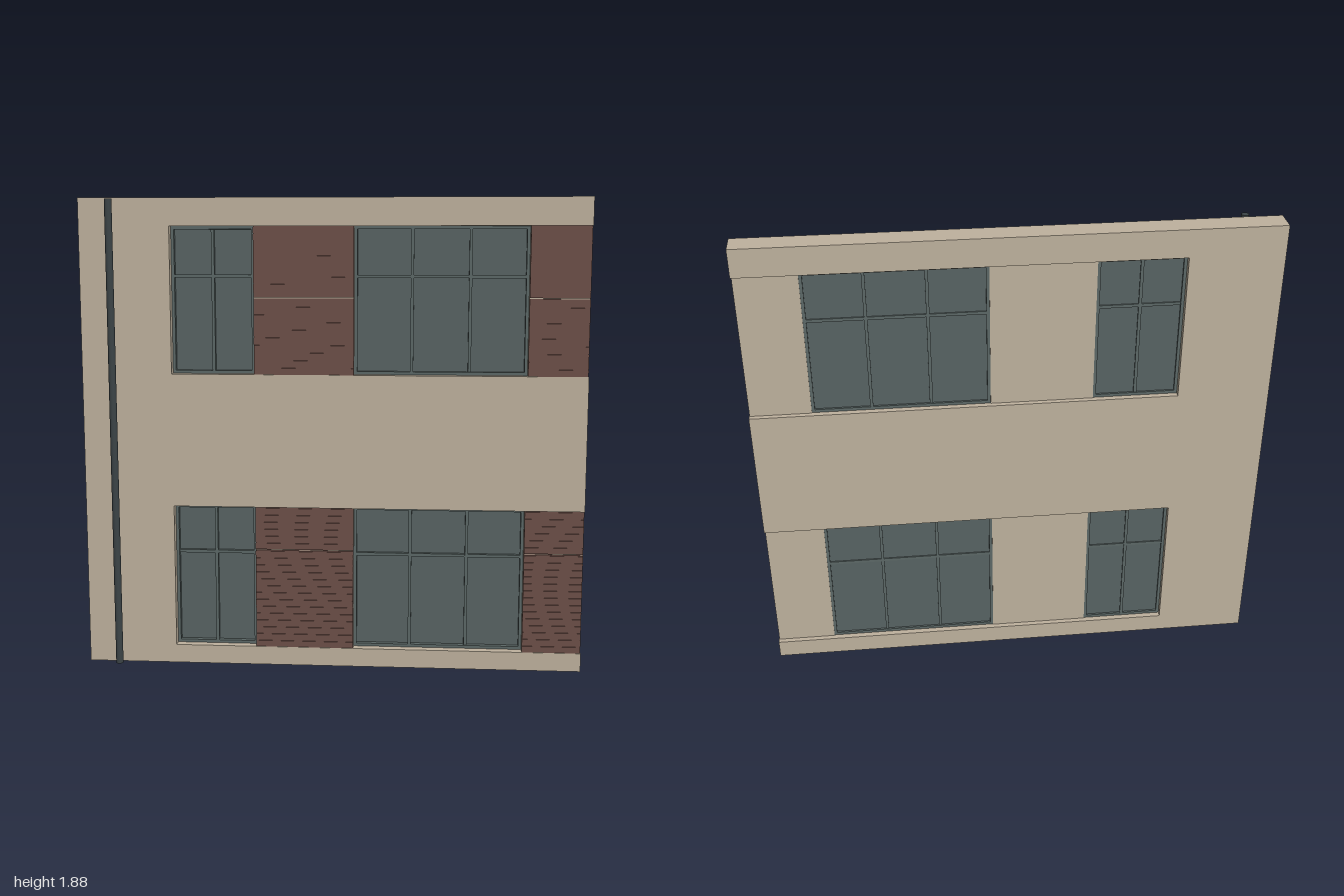
import * as THREE from 'three';

const mat = (name, color) => {
  const m = new THREE.MeshStandardMaterial({ color });
  m.name = name;
  return m;
};

export function createModel() {
  const render = mat('beige render', 0xbfb29e);
  const brick = mat('red brick', 0x6d5048);
  const glassMat = mat('grey glass', 0x586363);
  const frameMat = mat('window frame grey', 0x5c6867);
  const pipeMat = mat('dark pipe', 0x3c4447);

  const group = new THREE.Group();
  const H = 1.88, LEFT = -0.64, BACK = -0.073, FRONT = 0.022;
  const storeys = [
    { y0: 0.075, y1: 0.655, transom: 0.46, joint: 0.48 },
    { y0: 1.19, y1: 1.77, transom: 1.575, joint: 1.492 },
  ];
  const windows = [{ x0: LEFT, x1: -0.31, panes: 2 }, { x0: 0.085, x1: 0.765, panes: 3 }];
  const piers = [[-0.31, 0.085], [0.765, 0.998]];

  // Box given by its two corners
  const box = (name, material, x0, x1, y0, y1, z0, z1, parent = group) => {
    const mesh = new THREE.Mesh(new THREE.BoxGeometry(x1 - x0, y1 - y0, z1 - z0), material);
    mesh.position.set((x0 + x1) / 2, (y0 + y1) / 2, (z0 + z1) / 2);
    mesh.name = name;
    parent.add(mesh);
  };

  // Wall slab with two long recesses open at the right end
  const shape = new THREE.Shape();
  shape.moveTo(-1, 0);
  shape.lineTo(1, 0);
  for (const { y0, y1 } of storeys) {
    shape.lineTo(1, y0);
    shape.lineTo(LEFT, y0);
    shape.lineTo(LEFT, y1);
    shape.lineTo(1, y1);
  }
  shape.lineTo(1, H);
  shape.lineTo(-1, H);
  shape.closePath();
  const wall = new THREE.Mesh(
    new THREE.ExtrudeGeometry(shape, { depth: FRONT - BACK, bevelEnabled: false }), render);
  wall.position.z = BACK;
  wall.name = 'wall';
  group.add(wall);

  // Pier between windows: rendered core faced with brick courses
  const addPier = (x0, x1, { y0, y1, joint }) => {
    const pier = new THREE.Group();
    pier.name = 'brickPier';
    box('pierCore', render, x0, x1, y0, y1, -0.053, 0.01, pier);
    for (const [a, b] of [[y0, joint - 0.002], [joint + 0.002, y1]]) {
      box('brickBacking', brick, x0, x1, a, b, 0.01, 0.015, pier);
      const n = Math.round((b - a) / 0.029), pitch = (b - a) / n;
      for (let i = 0; i < n; i++) {
        box('brickCourse', brick, x0, x1, a + i * pitch, a + (i + 1) * pitch - 0.004, 0.015, 0.019, pier);
      }
    }
    group.add(pier);
  };

  // Window: border, mullions, transom, and a slim sash around each pane
  const addWindow = (x0, x1, panes, { y0, y1, transom }) => {
    const win = new THREE.Group();
    win.name = 'window';
    const t = 0.012, zb = -0.05, zf = -0.015;
    box('glass', glassMat, x0 + t, x1 - t, y0 + t, y1 - t, -0.042, -0.036, win);
    box('frameSide', frameMat, x0, x0 + t, y0, y1, zb, zf, win);
    box('frameSide', frameMat, x1 - t, x1, y0, y1, zb, zf, win);
    box('frameSill', frameMat, x0 + t, x1 - t, y0, y0 + t, zb, zf, win);
    box('frameHead', frameMat, x0 + t, x1 - t, y1 - t, y1, zb, zf, win);
    box('transom', frameMat, x0 + t, x1 - t, transom - 0.006, transom + 0.006, zb + 0.003, zf - 0.004, win);
    const step = (x1 - x0) / panes;
    for (let i = 1; i < panes; i++) {
      const x = x0 + i * step;
      box('mullion', frameMat, x - 0.006, x + 0.006, y0 + t, y1 - t, zb + 0.002, zf - 0.003, win);
    }
    group.add(win);
  };

  for (const storey of storeys) {
    for (const [x0, x1] of piers) addPier(x0, x1, storey);
    for (const { x0, x1, panes } of windows) addWindow(x0, x1, panes, storey);
  }

  // Downpipe standing off the front
  const pipe = new THREE.Mesh(new THREE.CylinderGeometry(0.015, 0.015, 1.87, 12), pipeMat);
  pipe.position.set(-0.87, 0.94, 0.058);
  pipe.name = 'downpipe';
  group.add(pipe);

  return group;
}
